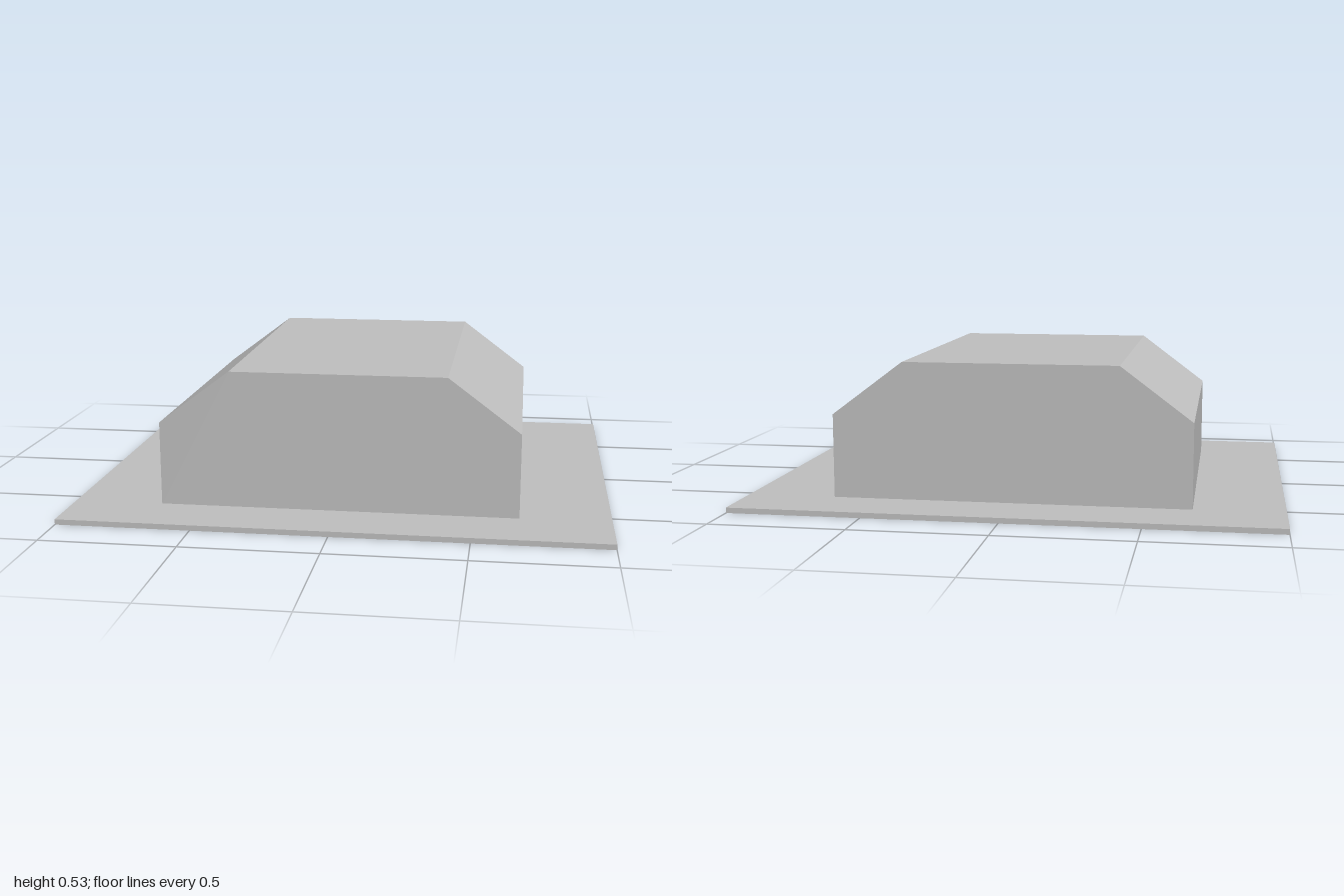
import * as THREE from 'three';

export function createModel() {
  const group = new THREE.Group();
  const grey = new THREE.MeshStandardMaterial({ color: 0xc0c0c0 });
  grey.name = 'lightGrey';

  // Thin ground slab
  const slabHeight = 0.02;
  const slab = new THREE.Mesh(new THREE.BoxGeometry(2, slabHeight, 1.664), grey);
  slab.name = 'baseSlab';
  slab.position.y = slabHeight / 2;
  group.add(slab);

  // Building body: chamfered section extruded front to back
  const depth = 1.2;
  const section = new THREE.Shape([
    [-0.667, slabHeight], [0.667, slabHeight], [0.667, 0.334],
    [0.4, 0.534], [-0.4, 0.534], [-0.667, 0.334],
  ].map(([x, y]) => new THREE.Vector2(x, y)));
  const bodyGeometry = new THREE.ExtrudeGeometry(section, { depth, bevelEnabled: false });
  bodyGeometry.translate(0, 0, -depth / 2);
  const body = new THREE.Mesh(bodyGeometry, grey);
  body.name = 'buildingBody';
  group.add(body);

  return group;
}
